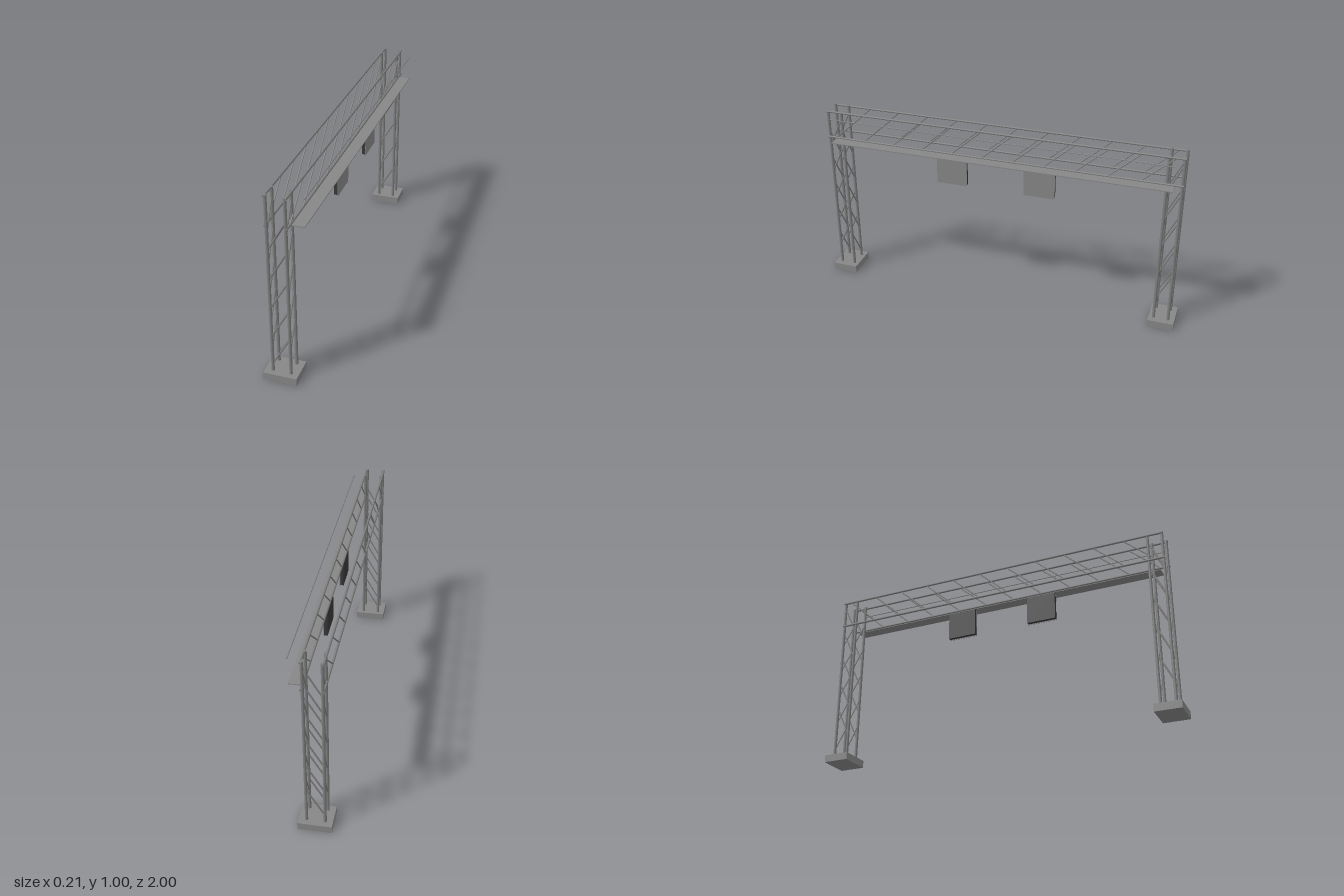
import * as THREE from 'three';

const steel = new THREE.MeshStandardMaterial({ color: 0x7e7e7e });
steel.name = 'grey steel';
const concrete = new THREE.MeshStandardMaterial({ color: 0x868686 });
concrete.name = 'light grey';
const dark = new THREE.MeshStandardMaterial({ color: 0x383838 });
dark.name = 'dark grey';

const UP = new THREE.Vector3(0, 1, 0);

// Round bar between two points
function bar(parent, name, a, b, radius, sides = 8) {
  const start = new THREE.Vector3(...a);
  const dir = new THREE.Vector3(...b).sub(start);
  const mesh = new THREE.Mesh(new THREE.CylinderGeometry(radius, radius, dir.length(), sides), steel);
  mesh.position.copy(start).addScaledVector(dir, 0.5);
  mesh.quaternion.setFromUnitVectors(UP, dir.normalize());
  mesh.name = name;
  parent.add(mesh);
}

function box(parent, name, size, pos, material) {
  const mesh = new THREE.Mesh(new THREE.BoxGeometry(...size), material);
  mesh.position.set(...pos);
  mesh.name = name;
  parent.add(mesh);
}

const POST_X = [-0.065, 0.027];
const CHORD_X = [-0.07, 0.033];

// Lattice tower on a footing
function makeTower(side) {
  const tower = new THREE.Group();
  tower.name = side > 0 ? 'frontTower' : 'backTower';
  const zNear = side * 0.926 + 0.039;
  const zFar = side * 0.926 - 0.039;
  box(tower, 'footing', [0.171, 0.04, 0.14], [-0.0185, 0.02, side * 0.93], concrete);
  for (const x of POST_X)
    for (const z of [zNear, zFar]) bar(tower, 'post', [x, 0.04, z], [x, 1.003, z], 0.008, 12);
  // Diagonals on all four faces, staggered by half a bay
  for (let i = 0; i < 5; i++) {
    const y = 0.08 + i * 0.16;
    for (const z of [zNear, zFar])
      bar(tower, 'crossBrace', [POST_X[0], y, z], [POST_X[1], y + 0.16, z], 0.004);
    for (const x of POST_X)
      bar(tower, 'sideBrace', [x, y + 0.08, zNear], [x, y + 0.24, zFar], 0.004);
  }
  return tower;
}

// Horizontal truss spanning the towers
function makeBeam() {
  const beam = new THREE.Group();
  beam.name = 'beam';
  const bays = 11, span = 1.85, step = span / bays;
  for (const x of CHORD_X) {
    for (const y of [0.848, 0.997]) bar(beam, 'chord', [x, y, -0.973], [x, y, 0.973], 0.006, 12);
    for (let i = 0; i < bays; i++) {
      const z = span / 2 - i * step;
      bar(beam, 'beamBrace', [x, 0.848, z], [x, 0.997, z - step], 0.0035);
    }
  }
  return beam;
}

// Sign box with a pale face
function makeSign(z) {
  const sign = new THREE.Group();
  sign.name = 'sign';
  box(sign, 'signBack', [0.019, 0.157, 0.164], [0.0445, 0.7625, z], dark);
  box(sign, 'signFace', [0.003, 0.162, 0.168], [0.0555, 0.761, z], concrete);
  return sign;
}

export function createModel() {
  const model = new THREE.Group();
  model.name = 'gantry';
  model.add(makeTower(1), makeTower(-1), makeBeam());
  // Walkway and handrail on the left side
  box(model, 'walkway', [0.066, 0.005, 1.85], [0.067, 0.842, -0.003], concrete);
  bar(model, 'handrail', [0.1, 0.981, -0.928], [0.1, 0.981, 0.922], 0.0025);
  for (const z of [0.243, -0.239]) model.add(makeSign(z));
  return model;
}
